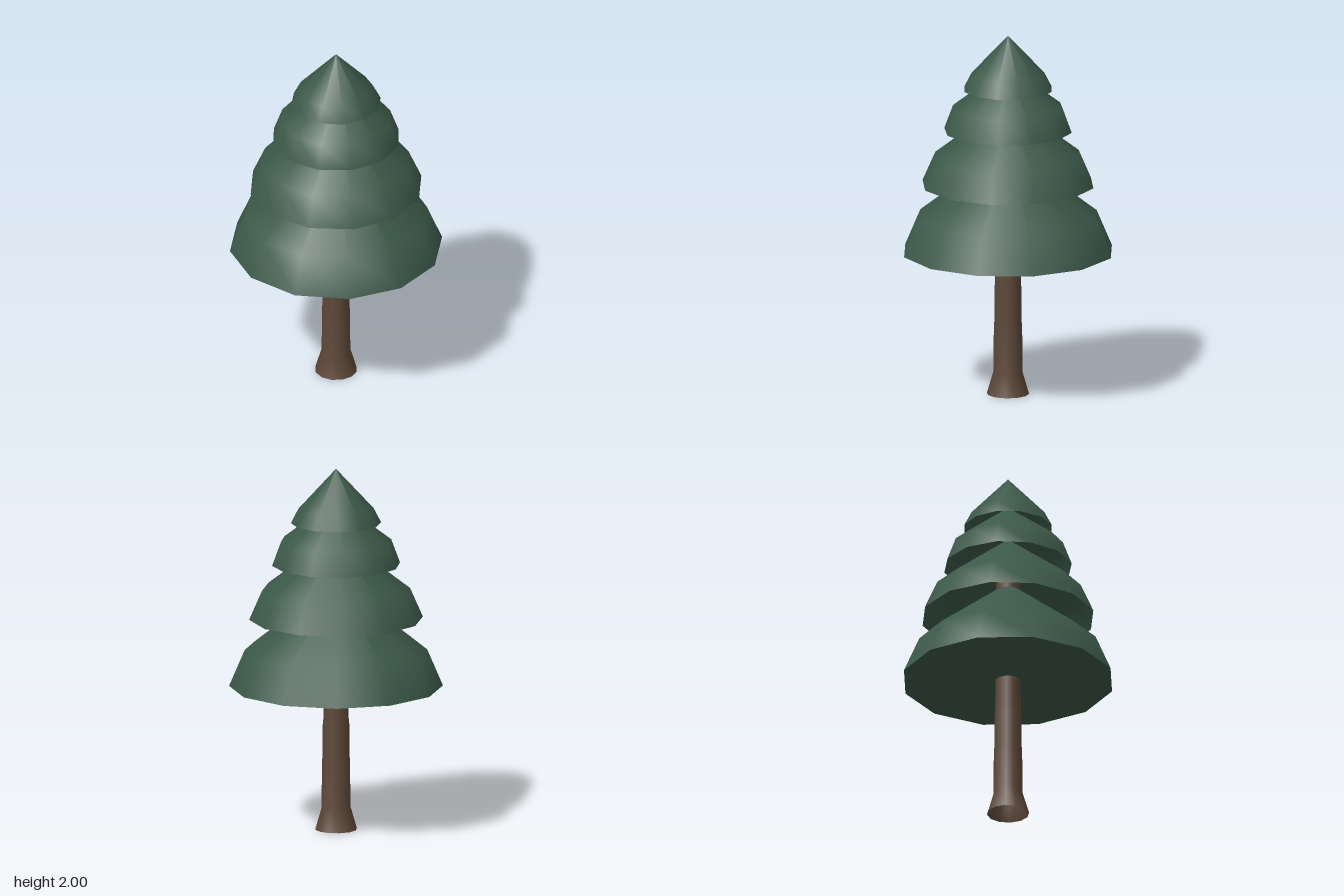
import * as THREE from 'three';

const needles = new THREE.MeshStandardMaterial({ color: 0x3b5848, side: THREE.DoubleSide });
const bark = new THREE.MeshStandardMaterial({ color: 0x5d4839, side: THREE.DoubleSide });
const SIDES = 12;

// Turns a list of [radius, height] points into a twelve-sided shell
function turned(name, profile, material, twist = 0) {
  const points = profile.map(([r, y]) => new THREE.Vector2(r, y));
  const mesh = new THREE.Mesh(new THREE.LatheGeometry(points, SIDES, twist), material);
  mesh.name = name;
  return mesh;
}

export function createModel() {
  const tree = new THREE.Group();
  tree.name = 'pineTree';

  // Trunk with flared foot, open at both ends
  tree.add(turned('trunk', [
    [0.115, 0], [0.08, 0.12], [0.077, 0.39], [0.074, 0.4],
    [0.073, 0.6], [0.07, 0.61], [0.066, 1.385],
  ], bark));

  // Hollow foliage tiers: steep skirt below, cone above, each twisted a little
  const tiers = [
    { rim: [0.58, 0.795], shoulder: [0.495, 0.995], tip: 1.38, twist: -10 },
    { rim: [0.473, 1.17], shoulder: [0.403, 1.33], tip: 1.64, twist: -5.5 },
    { rim: [0.35, 1.47], shoulder: [0.302, 1.6], tip: 1.83, twist: -3 },
    { rim: [0.245, 1.7], shoulder: [0.204, 1.78], tip: 2, twist: -8.5 },
  ];
  tiers.forEach(({ rim, shoulder, tip, twist }, i) => {
    const angle = THREE.MathUtils.degToRad(twist);
    tree.add(turned(`foliageTier${i + 1}`, [rim, shoulder, [0, tip]], needles, angle));
  });

  // Flat underside closing the lowest tier
  const [radius, height] = tiers[0].rim;
  const start = -THREE.MathUtils.degToRad(tiers[0].twist);
  const underside = new THREE.Mesh(
    new THREE.CircleGeometry(radius, SIDES, start).rotateX(Math.PI / 2), needles);
  underside.position.y = height;
  underside.name = 'foliageUnderside';
  tree.add(underside);

  return tree;
}
